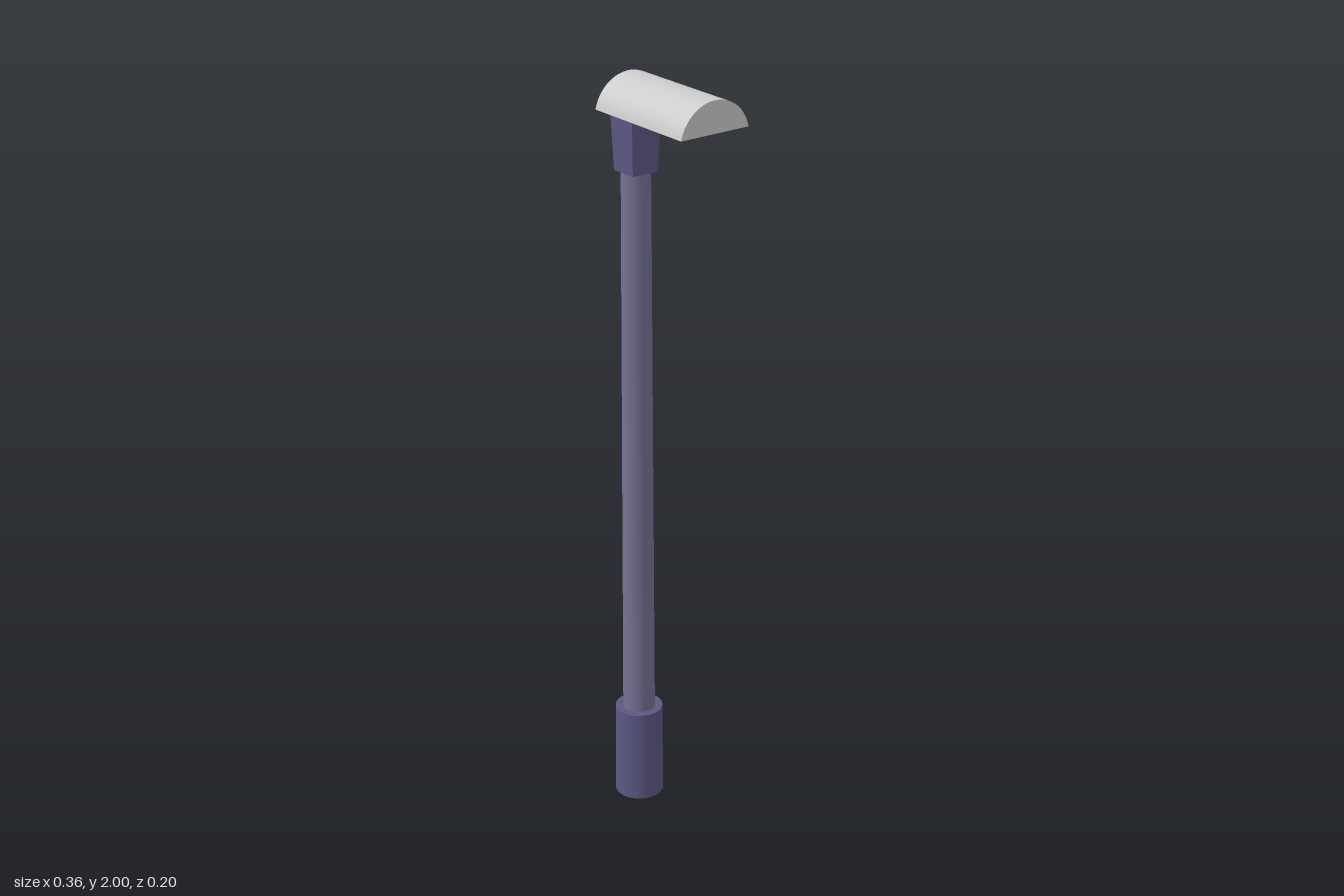
import * as THREE from 'three';
import { toCreasedNormals } from 'three/addons/utils/BufferGeometryUtils.js';

const POST_X = -0.115;
const POST_Z = 0.008;

export function createModel() {
  const model = new THREE.Group();
  const dark = new THREE.MeshStandardMaterial({ color: 0x5c5885 });
  const darkFlat = new THREE.MeshStandardMaterial({ color: 0x5c5885, flatShading: true });
  const light = new THREE.MeshStandardMaterial({ color: 0x757193 });
  const grey = new THREE.MeshStandardMaterial({ color: 0xcccccc });

  // Tapered upright section standing between two heights
  function section(name, rTop, rBottom, y0, y1, sides, material) {
    const geometry = new THREE.CylinderGeometry(rTop, rBottom, y1 - y0, sides);
    if (sides === 4) geometry.rotateY(Math.PI / 4);
    const mesh = new THREE.Mesh(geometry, material);
    mesh.name = name;
    mesh.position.set(POST_X, (y0 + y1) / 2, POST_Z);
    model.add(mesh);
  }

  section('base', 0.063, 0.065, 0, 0.26, 32, dark);
  section('pole', 0.037, 0.043, 0.2, 1.8, 32, light);
  // Square bracket flaring up into the lamp
  section('bracket', 0.046 * Math.SQRT2, 0.038 * Math.SQRT2, 1.76, 1.97, 4, darkFlat);

  // Lamp head: an arched profile with a flat underside, run along x
  const radius = 0.1025;
  const drop = radius - 0.08;
  const start = Math.asin(drop / radius);
  const profile = new THREE.Shape();
  profile.absarc(0, -drop, radius, start, Math.PI - start, false);
  profile.closePath();
  const lampGeometry = new THREE.ExtrudeGeometry(profile, {
    depth: 0.332, bevelEnabled: false, curveSegments: 32,
  });
  lampGeometry.rotateY(Math.PI / 2);
  const lamp = new THREE.Mesh(toCreasedNormals(lampGeometry, 0.6), grey);
  lamp.name = 'lampHead';
  lamp.position.set(-0.152, 1.92, 0);
  model.add(lamp);

  return model;
}
